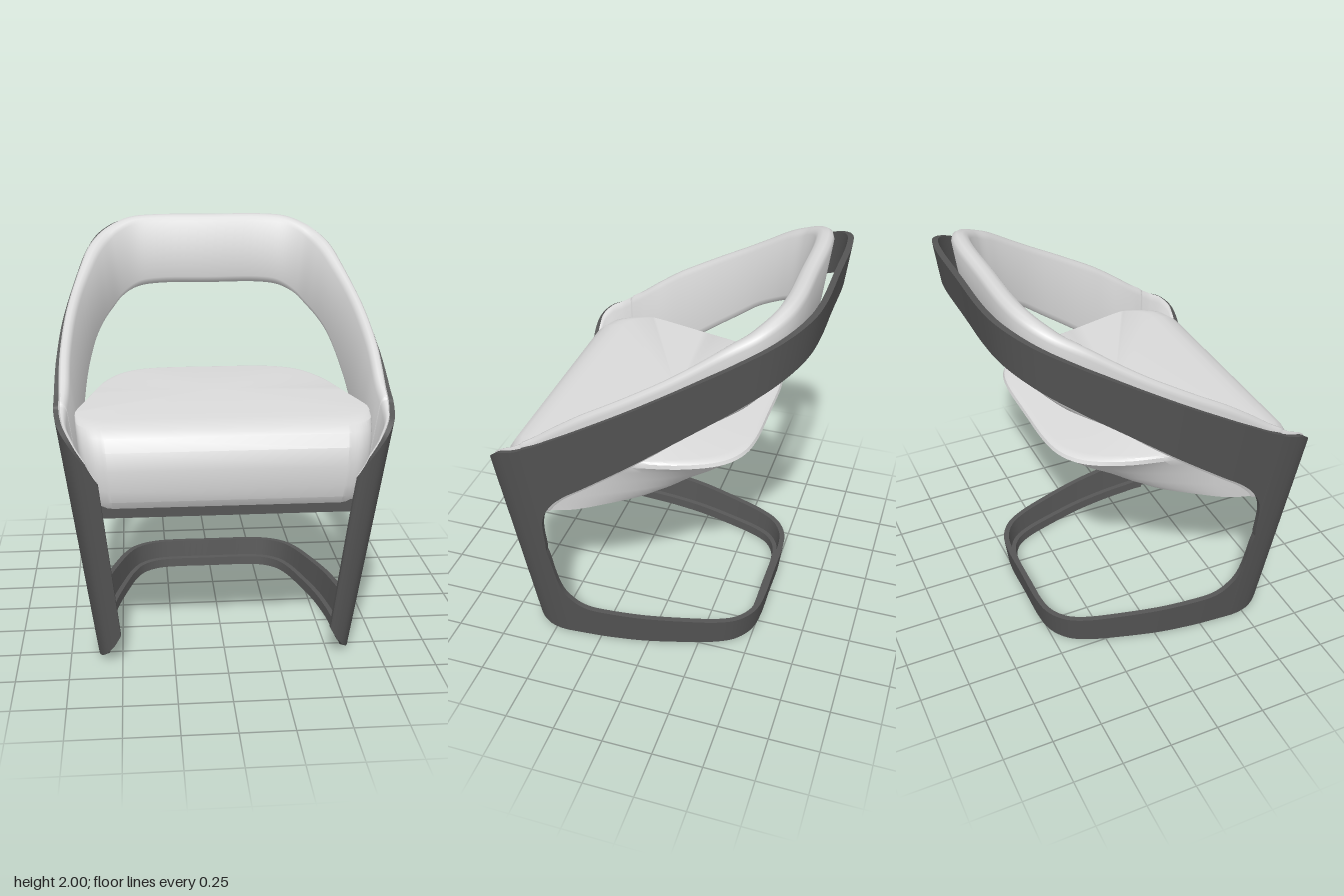
import * as THREE from 'three';
import { toCreasedNormals } from 'three/addons/utils/BufferGeometryUtils.js';

// Half plan of the tapered frame from back centre to front curl, at floor size:
// [x, z, top edge, upper opening edge, lower opening edge, bottom edge]
const ROWS = [
  [0, -.56, 1.98, 1.78, .145, 0],
  [.2, -.56, 1.98, 1.78, .145, 0],
  [.32, -.54, 1.965, 1.757, .146, 0],
  [.41, -.48, 1.913, 1.692, .15, 0],
  [.465, -.39, 1.838, 1.597, .155, 0],
  [.51, -.26, 1.731, 1.466, .163, 0],
  [.57, -.04, 1.56, 1.254, .176, 0],
  [.6, .14, 1.426, 1.092, .187, 0],
  [.611, .25, 1.347, .997, .2, 0],
  [.616, .32, 1.297, .91, .25, 0],
  [.619, .365, 1.27, .8, .35, 0],
  [.62, .385, 1.255, .6, .6, 0],
  [.617, .43, 1.23, .6, .6, 0],
  [.605, .49, 1.2, .6, .6, .01],
  [.575, .54, 1.14, .6, .6, .04],
  [.53, .56, 1.05, .6, .6, .09],
  [.49, .56, .95, .6, .6, .15],
];
const SUB = 6;
const JOIN = 11 * SUB;                 // column where both bands meet the legs
const END = (ROWS.length - 1) * SUB;   // column at the curled front edge
const smooth = THREE.MathUtils.smoothstep;
const taper = y => 1 + .21 * y;

const curve = (a, b, c) => new THREE.CatmullRomCurve3(
  ROWS.map(r => new THREE.Vector3(r[a], r[b], c === undefined ? 0 : r[c])), false, 'catmullrom', .5);
const planCurve = curve(0, 1);
const upperCurve = curve(2, 3, 4);
const bottomCurve = curve(5, 5);

// Plan point, outward normal and edge heights of a column; negative index is the right side
function column(i) {
  const t = Math.abs(i) / END;
  const p = planCurve.getPoint(t), d = planCurve.getTangent(t), e = upperCurve.getPoint(t);
  return {
    x: p.x, z: p.y, nx: d.y, nz: -d.x, side: i < 0 ? -1 : 1,
    top: e.x, upper: e.y, lower: e.z, bottom: Math.max(0, bottomCurve.getPoint(t).x),
  };
}

function place(c, inset, y, shift = 0) {
  const k = taper(y);
  return new THREE.Vector3(c.side * (c.x * k - c.nx * inset), y, .05 + c.z * k - c.nz * inset + shift);
}

// Skin over closed rings of equal length, with both ends capped
function loft(rings, crease) {
  const n = rings[0].length, pos = [], idx = [];
  rings.forEach(r => r.forEach(p => pos.push(p.x, p.y, p.z)));
  for (let i = 0; i < rings.length - 1; i++) {
    for (let j = 0; j < n; j++) {
      const a = i * n + j, d = i * n + (j + 1) % n, b = a + n, c = d + n;
      idx.push(a, d, b, b, d, c);
    }
  }
  [[0, true], [rings.length - 1, false]].forEach(([row, flip]) => {
    const mid = new THREE.Vector3();
    rings[row].forEach(p => mid.addScaledVector(p, 1 / n));
    const m = pos.length / 3;
    pos.push(mid.x, mid.y, mid.z);
    for (let j = 0; j < n; j++) {
      const a = row * n + j, b = row * n + (j + 1) % n;
      if (flip) idx.push(m, b, a); else idx.push(m, a, b);
    }
  });
  const g = new THREE.BufferGeometry();
  g.setAttribute('position', new THREE.Float32BufferAttribute(pos, 3));
  g.setIndex(idx);
  return toCreasedNormals(g, crease);
}

// Sweep a ring rule over a range of columns
function sweep(from, to, rule, crease = .6) {
  const rings = [];
  for (let i = from; i <= to; i++) rings.push(rule(column(i)));
  return loft(rings, crease);
}

const WALL = .028;
const band = (c, lo, hi) => [place(c, 0, lo), place(c, 0, hi), place(c, WALL, hi), place(c, WALL, lo)];

// Padded inner shell with a rolled rim, standing off the frame at the back
function linerRing(c) {
  const back = 1 - smooth(c.z, -.56, -.1);
  const front = smooth(c.z, .25, .54);
  const top = c.top + .008 + (.012 + .04 * smooth(c.z, -.56, -.3)) * (1 - smooth(c.z, .1, .5));
  const bot = Math.max(c.upper - .03 - .11 * (1 - smooth(c.z, -.56, -.2)), .86);
  const o = .02, w = (.055 + .035 * back) * (1 - front) + .02 * front;
  const r = Math.min(.035, (top - bot) / 3);
  return [
    [0, bot + r], [0, top - r], [.12, top - r * .3], [.35, top], [.65, top - r * .08],
    [.88, top - r * .4], [1, top - r], [1, bot + r], [.85, bot + r * .3], [.6, bot], [.25, bot],
  ].map(([f, y]) => place(c, o + w * f, y, .07 * back));
}

// Seat cushion: stacked plan outlines with a rolled front and a bevelled back
function seatGeometry() {
  const layers = [
    [1, .035, .52], [.985, .018, .57], [.95, .006, .62], [.87, 0, .66], [.72, .03, .695],
    [.5, .06, .712], [.25, .1, .706], [.1, .13, .695], [0, .18, .67],
  ];
  const rings = layers.map(([f, inset, fz]) => {
    const half = new THREE.CatmullRomCurve3([
      [.56, fz], [.64, fz - .035], [.69, fz - .12], [.69, .36], [.66, .2], [.622, 0],
      [.58, -.18], [.505, -.34], [.4, -.425], [.25, -.457], [0, -.46],
    ].map(([x, z]) => new THREE.Vector3(x, 0, z)), false, 'catmullrom', .5);
    const pts = half.getPoints(50).map(p => {
      const amount = inset * (1 - smooth(p.z, -.35, .45));
      const floor = Math.max(.82, .918 - .187 * p.z);
      const y = floor + (1.2 - floor) * f;
      const x = Math.max(0, p.x - amount * Math.min(1, p.x / .45));
      return new THREE.Vector3(x * taper(y) / taper(1.2), y, p.z + amount * smooth(-p.z, -.1, .4));
    });
    const other = pts.slice(0, -1).reverse().map(p => new THREE.Vector3(-p.x, p.y, p.z));
    return [...pts, ...other].reverse();
  });
  return loft(rings, .5);
}

export function createModel() {
  const model = new THREE.Group();
  model.name = 'chair';
  const dark = new THREE.MeshStandardMaterial({ color: 0x555555, side: THREE.DoubleSide });
  dark.name = 'dark grey';
  const light = new THREE.MeshStandardMaterial({ color: 0xdadada, side: THREE.DoubleSide });
  light.name = 'light grey';
  const add = (name, geometry, material) => {
    const mesh = new THREE.Mesh(geometry, material);
    mesh.name = name;
    model.add(mesh);
    return mesh;
  };

  // Frame: back band, floor band and two curled front legs
  add('backBand', sweep(-JOIN, JOIN, c => band(c, c.upper, c.top)), dark);
  add('floorBand', sweep(-JOIN, JOIN, c => band(c, c.bottom, c.lower)), dark);
  const leg = c => band(c, c.bottom, c.top);
  add('leftLeg', sweep(JOIN, END, leg), dark);
  add('rightLeg', sweep(-END, -JOIN, leg), dark);

  // Ledge inside the floor band
  const ledge = 12 * SUB;
  add('floorLedge', sweep(-ledge, ledge, c =>
    [[.02, .004], [.02, .055], [.05, .05], [.05, .004]].map(([d, y]) => place(c, d, y))), dark);

  // Cross rail under the front of the seat
  add('crossRail', new THREE.BoxGeometry(1.16, .06, .16), dark).position.set(0, .8, .58);

  // Padding
  add('backLiner', sweep(-END, END, linerRing, .9), light);
  add('seat', seatGeometry(), light);
  return model;
}
